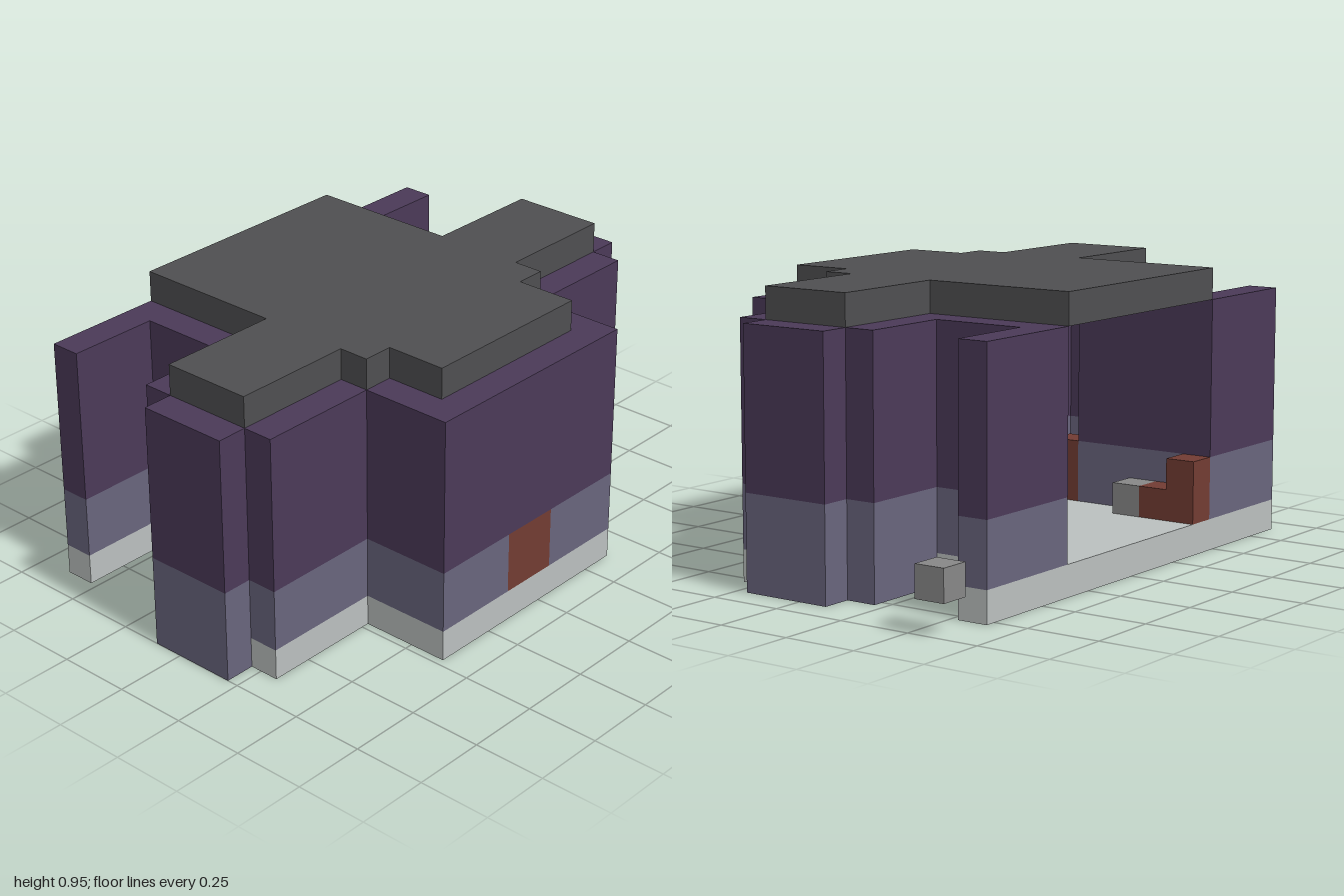
import * as THREE from 'three';

// Everything sits on a block grid: 12 wide, 9 high, 19 deep
const U = 2 / 19;

const paint = (name, color) => {
  const m = new THREE.MeshStandardMaterial({ color });
  m.name = name;
  return m;
};

export function createModel() {
  const model = new THREE.Group();
  model.name = 'house';

  const purple = paint('purple wall', 0x4b3a58);
  const slate = paint('slate blue wall', 0x69657d);
  const pale = paint('pale floor', 0xbbc0bf);
  const charcoal = paint('charcoal roof', 0x4f4f51);
  const rust = paint('rust red', 0x723c33);
  const grey = paint('mid grey', 0x888888);

  // Box from grid ranges in x, y and z
  function block(parent, name, material, x0, x1, y0, y1, z0, z1) {
    const mesh = new THREE.Mesh(
      new THREE.BoxGeometry((x1 - x0) * U, (y1 - y0) * U, (z1 - z0) * U), material);
    mesh.position.set(((x0 + x1) / 2 - 6) * U, ((y0 + y1) / 2) * U, ((z0 + z1) / 2 - 9.5) * U);
    mesh.name = name;
    parent.add(mesh);
  }

  // Flat slab from a plan outline given as [x, z] grid points
  function slab(name, material, y0, y1, outline) {
    const shape = new THREE.Shape(
      outline.map(([x, z]) => new THREE.Vector2((x - 6) * U, -(z - 9.5) * U)));
    const geometry = new THREE.ExtrudeGeometry(shape, { depth: (y1 - y0) * U, bevelEnabled: false });
    geometry.rotateX(-Math.PI / 2);
    const mesh = new THREE.Mesh(geometry, material);
    mesh.position.y = y0 * U;
    mesh.name = name;
    model.add(mesh);
  }

  // Plans are symmetric about z = 10: mirror half an outline to close it
  const mirrored = (half) => [...half, ...half.map(([x, z]) => [x, 20 - z]).reverse()];

  slab('floor', pale, 0, 1, mirrored([
    [0, 2], [1, 2], [1, 5], [5, 5], [5, 2], [9, 2], [9, 6], [12, 6]]));
  slab('roof', charcoal, 8, 9, mirrored([
    [0, 6], [5, 6], [5, 2], [8, 2], [8, 6], [9, 6], [9, 7], [11, 7]]));

  // Walls: slate below, purple above; some reach the ground
  const walls = new THREE.Group();
  walls.name = 'walls';
  model.add(walls);
  const plan = [
    // name, x0, x1, z0, z1, base
    ['wingWall', 0, 1, 2, 5, 1],
    ['courtWall', 0, 5, 5, 6, 1],
    ['bayInnerWall', 4, 5, 2, 5, 0],
    ['bayEndWall', 5, 8, 1, 2, 0],
    ['bayOuterWall', 8, 9, 2, 6, 1],
    ['sideReturnWall', 9, 11, 6, 7, 1],
  ];
  for (const [name, x0, x1, z0, z1, base] of plan) {
    for (const [a, b, side] of [[z0, z1, 'Back'], [20 - z1, 20 - z0, 'Front']]) {
      block(walls, name + side + 'Lower', slate, x0, x1, base, 3, a, b);
      block(walls, name + side + 'Upper', purple, x0, x1, 3, 8, a, b);
    }
  }

  // Side wall with the door set flush in it
  block(walls, 'sideWallLowerBack', slate, 11, 12, 1, 3, 6, 9);
  block(walls, 'sideWallLowerFront', slate, 11, 12, 1, 3, 11, 14);
  block(walls, 'sideWallUpper', purple, 11, 12, 3, 8, 6, 14);
  block(model, 'door', rust, 11, 12, 1, 3, 9, 11);

  // Furniture inside the open side
  block(model, 'benchBack', rust, 0, 1, 1, 3, 13, 14);
  block(model, 'benchSeat', rust, 1, 2, 1, 2, 13, 14);
  block(model, 'benchTable', grey, 2, 3, 1, 2, 13, 14);
  block(model, 'cabinet', rust, 5, 6, 1, 3, 14, 15);

  // Loose block floating behind the wing
  block(model, 'looseBlock', grey, 0, 1, 1, 2, 0, 1);

  return model;
}
